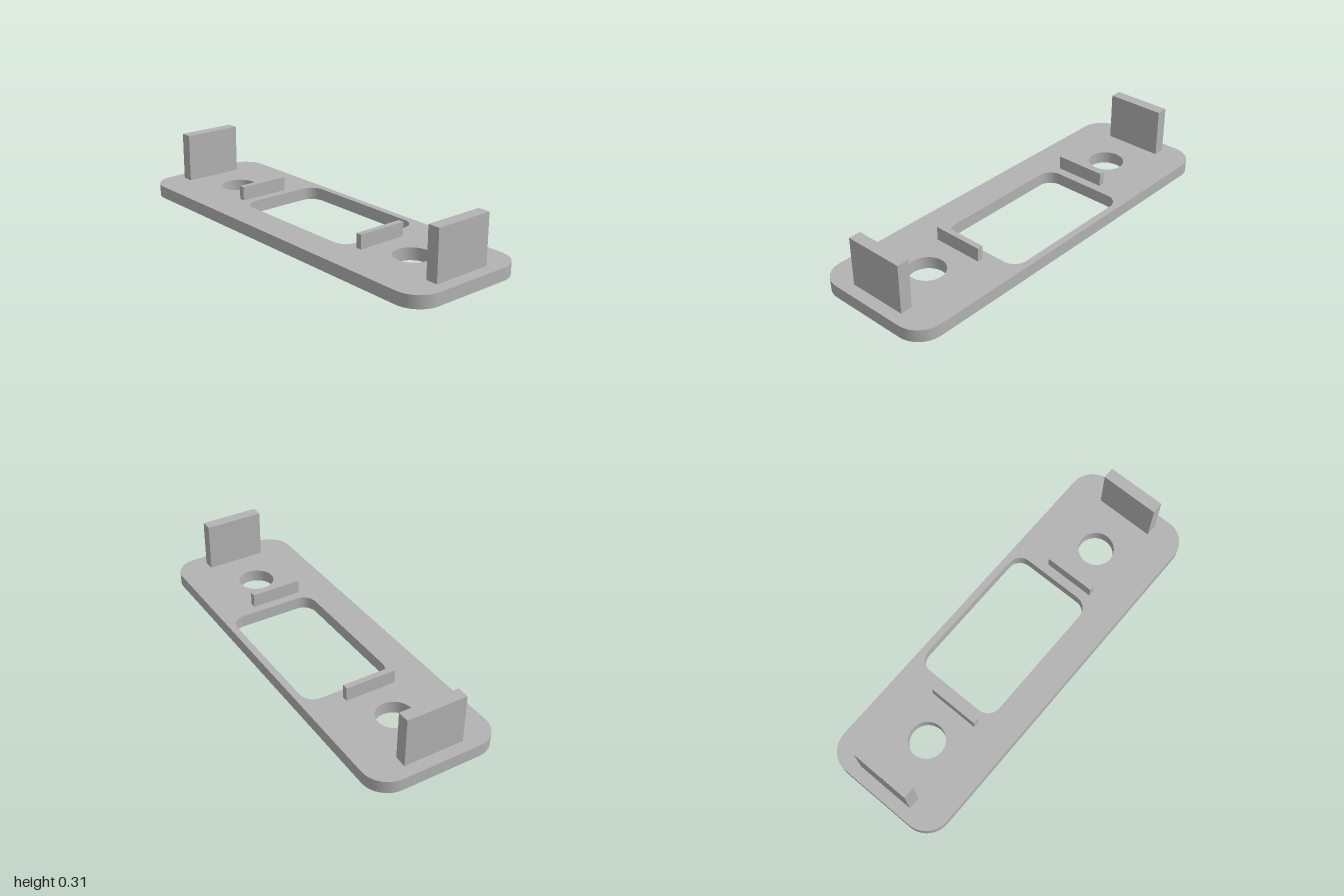
import * as THREE from 'three';
import { toCreasedNormals } from 'three/addons/utils/BufferGeometryUtils.js';

const PLATE_TOP = 0.062;

// Rounded rectangle outline, used for the plate and its window
function roundedRect(path, x0, y0, x1, y1, r) {
  path.moveTo(x0 + r, y0);
  path.lineTo(x1 - r, y0);
  path.absarc(x1 - r, y0 + r, r, -Math.PI / 2, 0);
  path.lineTo(x1, y1 - r);
  path.absarc(x1 - r, y1 - r, r, 0, Math.PI / 2);
  path.lineTo(x0 + r, y1);
  path.absarc(x0 + r, y1 - r, r, Math.PI / 2, Math.PI);
  path.lineTo(x0, y0 + r);
  path.absarc(x0 + r, y0 + r, r, Math.PI, Math.PI * 1.5);
  return path;
}

export function createModel() {
  const model = new THREE.Group();
  model.name = 'mountingPlate';
  const grey = new THREE.MeshStandardMaterial({ color: 0xb2b2b2 });
  grey.name = 'grey';

  // Base plate with an off-centre window and two round holes
  const outline = roundedRect(new THREE.Shape(), -1, -0.324, 1, 0.324, 0.125);
  outline.holes.push(roundedRect(new THREE.Path(), -0.378, -0.162, 0.378, 0.289, 0.07));
  for (const side of [-1, 1]) {
    outline.holes.push(new THREE.Path().absarc(side * 0.647, 0, 0.09, 0, Math.PI * 2));
  }
  const plateGeometry = new THREE.ExtrudeGeometry(outline, {
    depth: PLATE_TOP, bevelEnabled: false, curveSegments: 20,
  });
  plateGeometry.rotateX(-Math.PI / 2);
  const plate = new THREE.Mesh(toCreasedNormals(plateGeometry, 0.6), grey);
  plate.name = 'basePlate';
  model.add(plate);

  // Upright tabs standing on the plate
  function addTab(name, x, width, top, depth) {
    const height = top - PLATE_TOP;
    const tab = new THREE.Mesh(new THREE.BoxGeometry(width, height, depth), grey);
    tab.name = name;
    tab.position.set(x, PLATE_TOP + height / 2, 0);
    model.add(tab);
  }
  for (const [label, side] of [['left', 1], ['right', -1]]) {
    addTab(label + 'EndTab', side * 0.909, 0.06, 0.308, 0.304);
    addTab(label + 'WindowRib', side * 0.44, 0.03, 0.132, 0.262);
  }
  return model;
}
